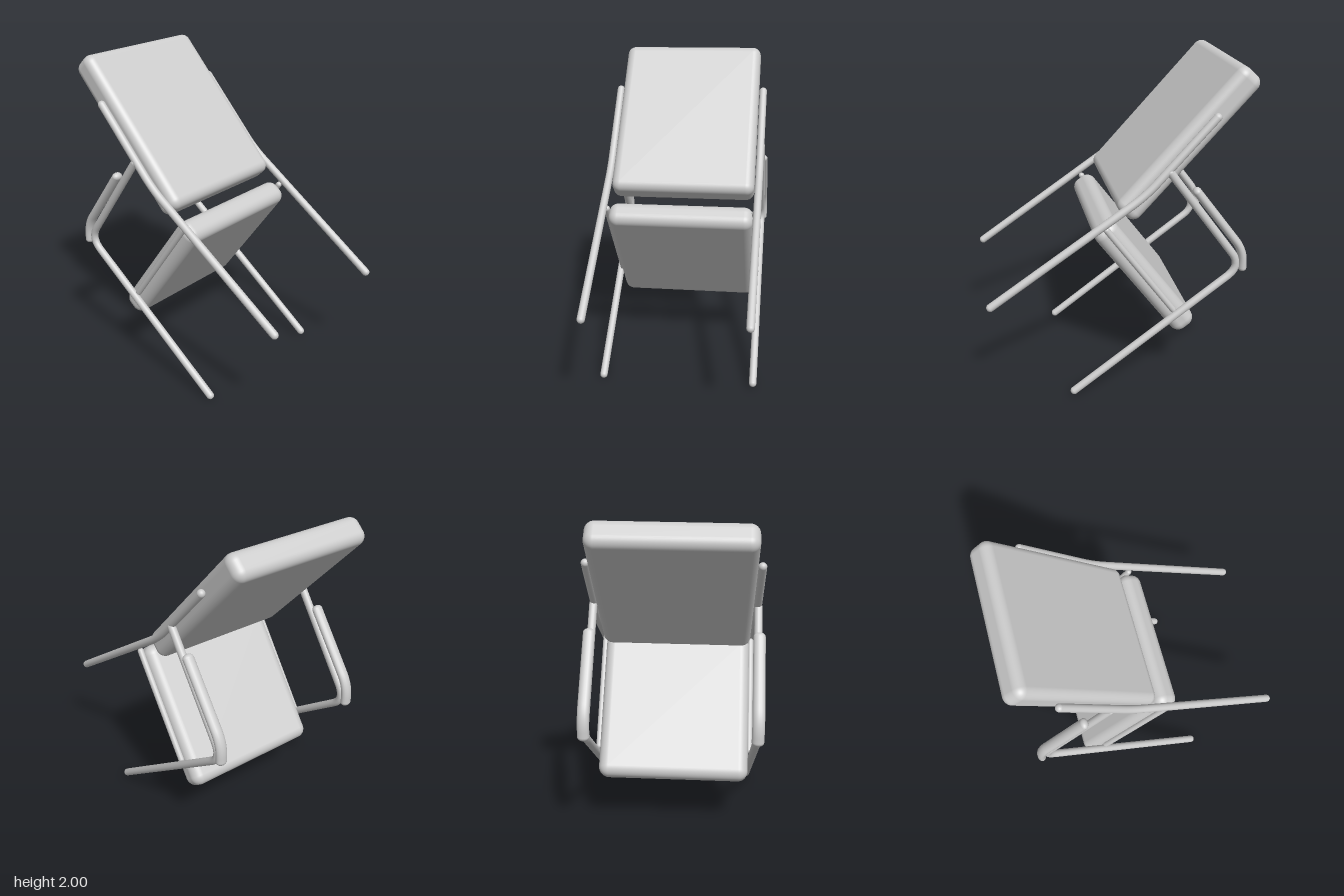
import * as THREE from 'three';
import { RoundedBoxGeometry } from 'three/addons/geometries/RoundedBoxGeometry.js';

const grey = new THREE.MeshStandardMaterial({ color: 0xcccccc });
grey.name = 'plain grey';

// Curve through [z, y] points: straight runs joined by rounded bends of the given reach
function bentPath(points, reach) {
  const p = points.map(([z, y]) => new THREE.Vector3(0, y, z));
  const path = new THREE.CurvePath();
  let from = p[0];
  for (let i = 1; i < p.length - 1; i++) {
    const a = p[i].clone().add(p[i - 1].clone().sub(p[i]).setLength(reach));
    const b = p[i].clone().add(p[i + 1].clone().sub(p[i]).setLength(reach));
    path.add(new THREE.LineCurve3(from, a));
    path.add(new THREE.QuadraticBezierCurve3(a, p[i], b));
    from = b;
  }
  path.add(new THREE.LineCurve3(from, p[p.length - 1]));
  return path;
}

// Round-ended bar lying in a plane of constant x; widen stretches its section sideways
function bar(name, points, radius, x, reach = 0.1, widen = 1) {
  const group = new THREE.Group();
  group.name = name;
  const path = bentPath(points, reach);
  group.add(new THREE.Mesh(new THREE.TubeGeometry(path, 80, radius, 16), grey));
  for (const t of [0, 1]) {
    const cap = new THREE.Mesh(new THREE.SphereGeometry(radius, 16, 12), grey);
    cap.position.copy(path.getPoint(t));
    group.add(cap);
  }
  group.position.x = x;
  group.scale.x = widen;
  return group;
}

// Padded slab, its long axis tilted about x
function cushion(name, width, length, thickness, radius, y, z, tilt) {
  const mesh = new THREE.Mesh(new RoundedBoxGeometry(width, length, thickness, 6, radius), grey);
  mesh.name = name;
  mesh.position.set(0, y, z);
  mesh.rotation.x = tilt;
  return mesh;
}

export function createModel() {
  const model = new THREE.Group();
  model.name = 'tippedArmchair';
  const chair = new THREE.Group();
  chair.name = 'chair';
  model.add(chair);

  chair.add(cushion('backrest', 0.905, 1.09, 0.166, 0.055, 1.5625, -0.388, Math.atan2(-0.676, 0.737)));
  chair.add(cushion('seat', 0.912, 0.906, 0.156, 0.06, 0.7325, -0.155, Math.atan2(0.596, 0.803)));

  for (const side of [1, -1]) {
    // Rear leg running on into the back upright
    chair.add(bar('rearLegAndUpright', [[0.785, 0.667], [-0.13, 1.295], [-0.535, 1.737]], 0.024, side * 0.479, 0.1));
    // Front leg bending into the arm
    chair.add(bar('frontLegAndArm', [[0.303, 0.027], [-0.735, 0.8], [-0.272, 1.43]], 0.024, side * 0.483, 0.11));
    // Pad over the arm, curling down at its front
    chair.add(bar('armPad', [[-0.432, 1.305], [-0.735, 0.905], [-0.737, 0.793]], 0.026, side * 0.487, 0.08, 1.35));
    // Rail along the seat edge
    chair.add(bar('seatRail', [[0.093, 1.095], [-0.32, 0.527]], 0.019, side * 0.464));
  }

  // Slight sideways lean of the whole chair
  const lean = 0.0095;
  chair.rotation.z = lean;
  chair.position.x = lean * 0.55;
  return model;
}
